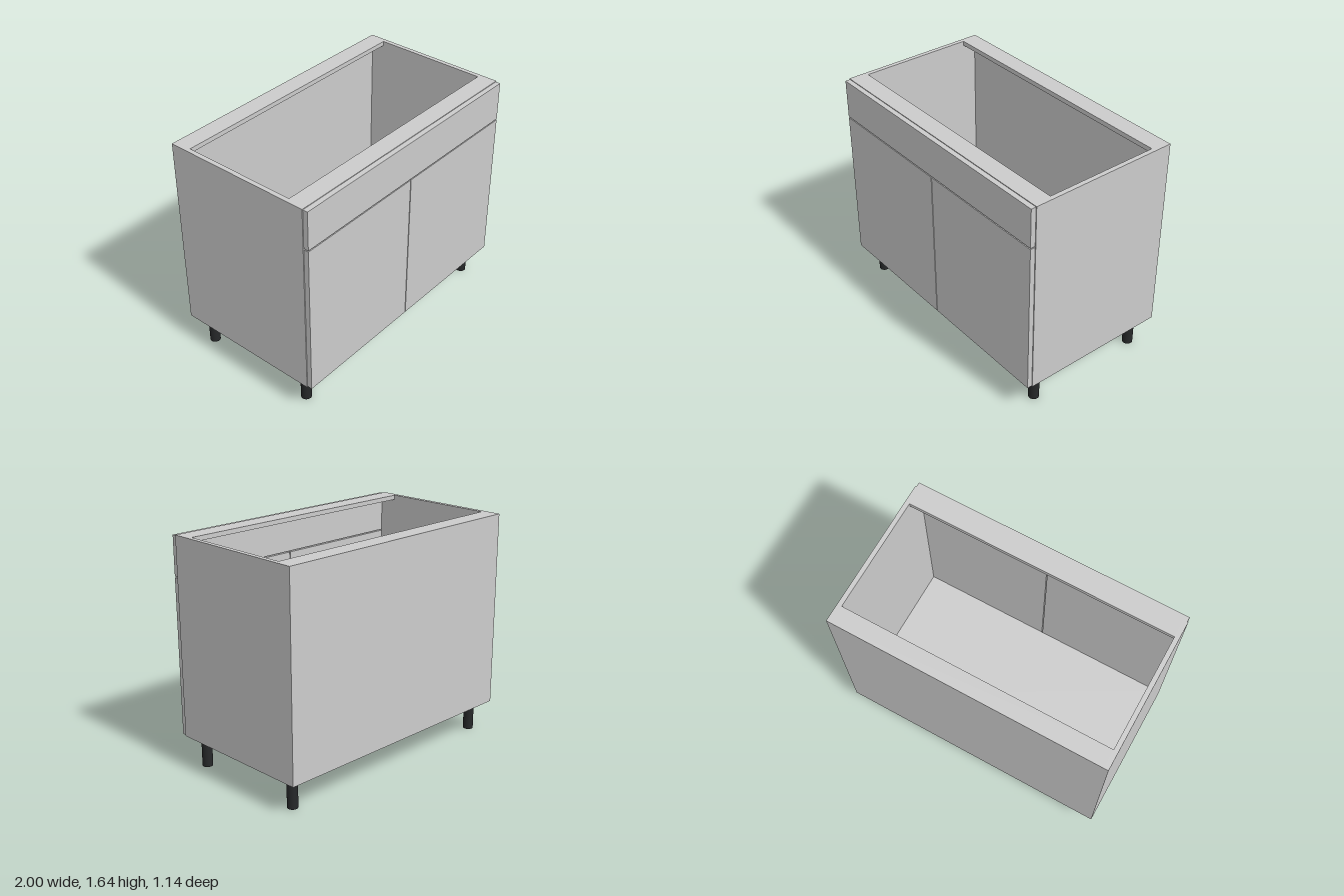
import * as THREE from 'three';

export function createModel() {
  const group = new THREE.Group();
  const panelMat = new THREE.MeshStandardMaterial({ color: 0xcccccc });
  const legMat = new THREE.MeshStandardMaterial({ color: 0x262829 });

  const base = 0.22, top = 1.645, back = -0.568, front = 0.532, t = 0.033;
  const inner = 1 - t;

  // Box given by its limits on each axis
  function panel(name, [x0, x1], [y0, y1], [z0, z1]) {
    const mesh = new THREE.Mesh(new THREE.BoxGeometry(x1 - x0, y1 - y0, z1 - z0), panelMat);
    mesh.position.set((x0 + x1) / 2, (y0 + y1) / 2, (z0 + z1) / 2);
    mesh.name = name;
    group.add(mesh);
  }

  // Open-topped carcass
  panel('leftSide', [inner, 1], [base, top], [back, front]);
  panel('rightSide', [-1, -inner], [base, top], [back, front]);
  panel('bottomPanel', [-inner, inner], [base, base + t], [back, front]);
  panel('backPanel', [-inner, inner], [base + t, top - t], [back, back + 0.03]);

  // Flat top rails
  panel('backRail', [-inner, inner], [top - t, top], [back, -0.436]);
  panel('frontRail', [-inner, inner], [top - t, top], [0.4, front]);

  // Doors and drawer front, separated by narrow gaps
  const frontZ = [front, 0.568], edge = 0.994, gap = 0.003;
  panel('leftDoor', [gap, edge], [base + 0.004, 1.35], frontZ);
  panel('rightDoor', [-edge, -gap], [base + 0.004, 1.35], frontZ);
  panel('drawerFront', [-edge, edge], [1.358, top - 0.005], frontZ);

  // Round legs
  const legGeo = new THREE.CylinderGeometry(0.037, 0.037, base, 32);
  for (const [side, x] of [['Left', 0.898], ['Right', -0.898]]) {
    for (const [end, z] of [['front', 0.43], ['back', -0.447]]) {
      const leg = new THREE.Mesh(legGeo, legMat);
      leg.name = `${end}${side}Leg`;
      leg.position.set(x, base / 2, z);
      group.add(leg);
    }
  }
  return group;
}
